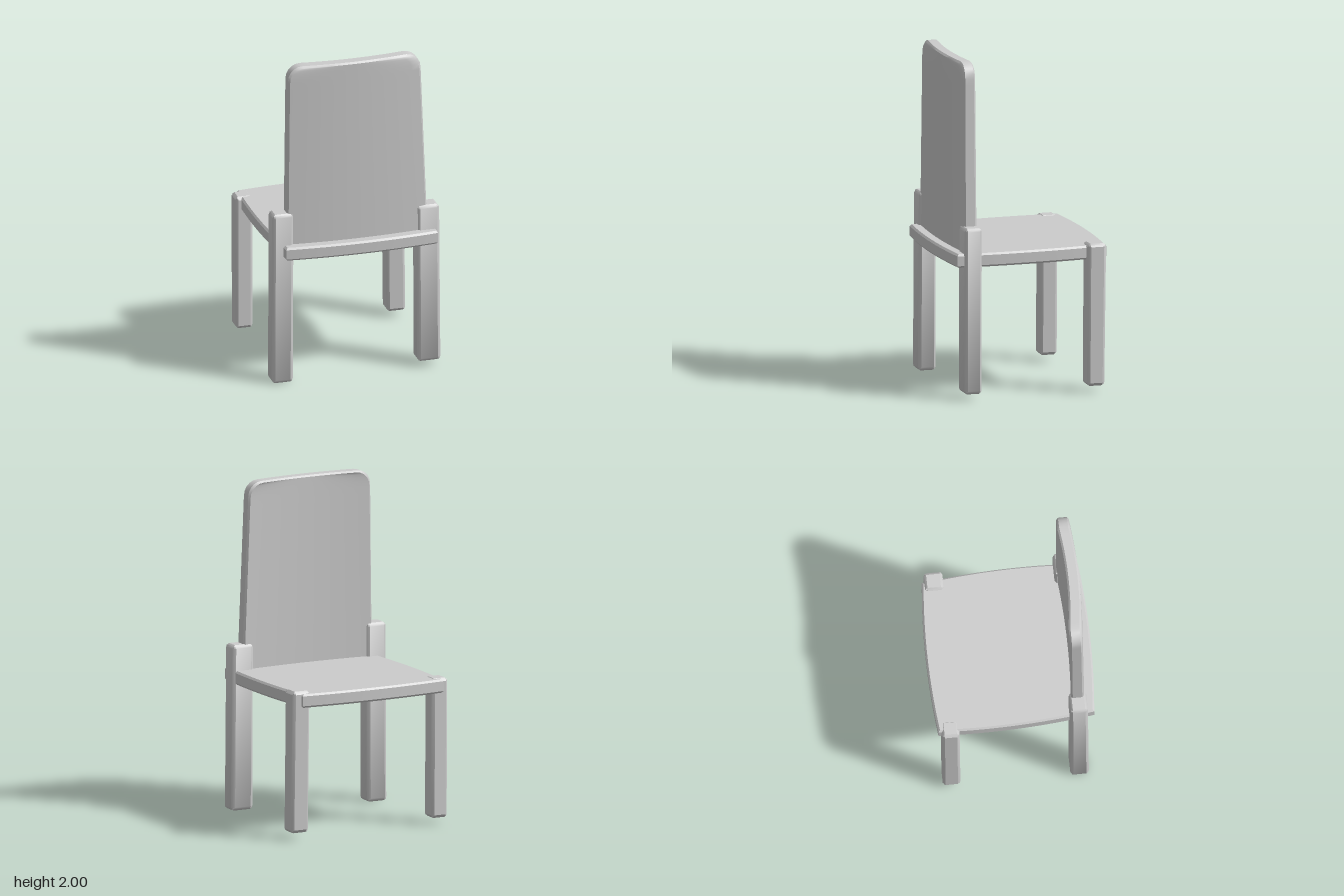
import * as THREE from 'three';
import { toCreasedNormals } from 'three/addons/utils/BufferGeometryUtils.js';

const material = new THREE.MeshStandardMaterial({ color: 0xcccccc });

// Box with bevelled faces; rule(u, v, w, inset) places each vertex, u, v, w in -1..1
function slab(name, nu, nv, rule) {
  const geo = new THREE.BoxGeometry(2, 2, 2, nu, nv, 3);
  const p = geo.attributes.position;
  for (let i = 0; i < p.count; i++) {
    const w = p.getZ(i);
    const outer = Math.abs(w) > 0.9;
    const layer = outer ? Math.sign(w) : Math.sign(w) * 0.72;
    p.setXYZ(i, ...rule(p.getX(i), p.getY(i), layer, outer ? 0.01 : 0));
  }
  const mesh = new THREE.Mesh(toCreasedNormals(geo, 0.6), material);
  mesh.name = name;
  return mesh;
}

const lerp = THREE.MathUtils.lerp;

// Square post, slightly leaning: [x0, x1, z0, z1] at the bottom and at the top
function leg(name, y0, y1, bottom, top) {
  return slab(name, 3, 3, (u, v, w, inset) => {
    // bevel rings across and along the post
    const ring = (t, b) => (Math.abs(t) > 0.9 ? Math.sign(t) : Math.sign(t) * (1 - b));
    const a = ring(u, 0.18), h = ring(v, 0.025), d = ring(w, 0.18);
    const atEnd = Math.abs(h) === 1 ? 0.01 : 0;
    const atSide = Math.abs(a) === 1 ? 0.01 : 0;
    const [x0, x1, z0, z1] = bottom.map((b, i) => lerp(b, top[i], (h + 1) / 2));
    const sx = (x1 - x0) / 2 - Math.max(inset, atEnd) * 0.8;
    const sz = (z1 - z0) / 2 - Math.max(atSide, atEnd) * 0.8;
    const sy = (y1 - y0) / 2 - Math.max(inset, atSide) * 0.8;
    return [(x0 + x1) / 2 + a * sx, (y0 + y1) / 2 + h * sy, (z0 + z1) / 2 + d * sz];
  });
}

export function createModel() {
  const chair = new THREE.Group();
  chair.name = 'chair';

  // Seat: thin board with gently bulging, slightly uneven edges
  chair.add(slab('seat', 16, 16, (u, v, w, inset) => {
    const t = -v;
    const left = -0.485 + 0.0175 * t + 0.0225 * t * t + inset;
    const right = 0.497 + 0.0125 * t - 0.0245 * t * t - inset;
    const end = 0.463 + 0.025 * (1 - u * u) - inset;
    return [lerp(left, right, (u + 1) / 2), 0.836 + w * 0.041, t * end];
  }));

  // Backrest: tall bowed panel, tapering upward, with rounded top corners
  chair.add(slab('backrest', 16, 28, (u, v, w, inset) => {
    const s = Math.sin(v * Math.PI / 2);
    const k = (s + 1) / 2;
    const y = lerp(0.782 + inset, 2.0 - inset, k);
    // corner rounding: the panel narrows along a quarter circle near each end
    const r = s > 0 ? 0.085 : 0.03;
    const gap = s > 0 ? (1 - k) * 1.22 : k * 1.22;
    const cut = gap < r ? r - Math.sqrt(Math.max(0, r * r - (r - gap) ** 2)) : 0;
    const left = lerp(-0.428, -0.413, k) + cut + inset;
    const right = lerp(0.442, 0.396, k) - cut - inset;
    const bow = 0.022 * (1 - u * u);
    const z = lerp(0.368, 0.361, k) + bow + w * lerp(0.04, 0.037, k);
    return [lerp(left, right, (u + 1) / 2), y, z];
  }));

  // Rear posts rise beside the backrest; the other pair stops at the seat
  chair.add(leg('backLegRight', 0, 1.075, [-0.52, -0.39, 0.315, 0.425], [-0.515, -0.385, 0.315, 0.42]));
  chair.add(leg('backLegLeft', 0.035, 1.03, [0.372, 0.515, 0.318, 0.425], [0.37, 0.508, 0.315, 0.422]));
  chair.add(leg('frontLegRight', 0.04, 0.88, [-0.52, -0.415, -0.44, -0.335], [-0.52, -0.415, -0.445, -0.34]));
  chair.add(leg('frontLegLeft', 0.04, 0.893, [0.405, 0.52, -0.437, -0.33], [0.4, 0.515, -0.45, -0.337]));

  return chair;
}
